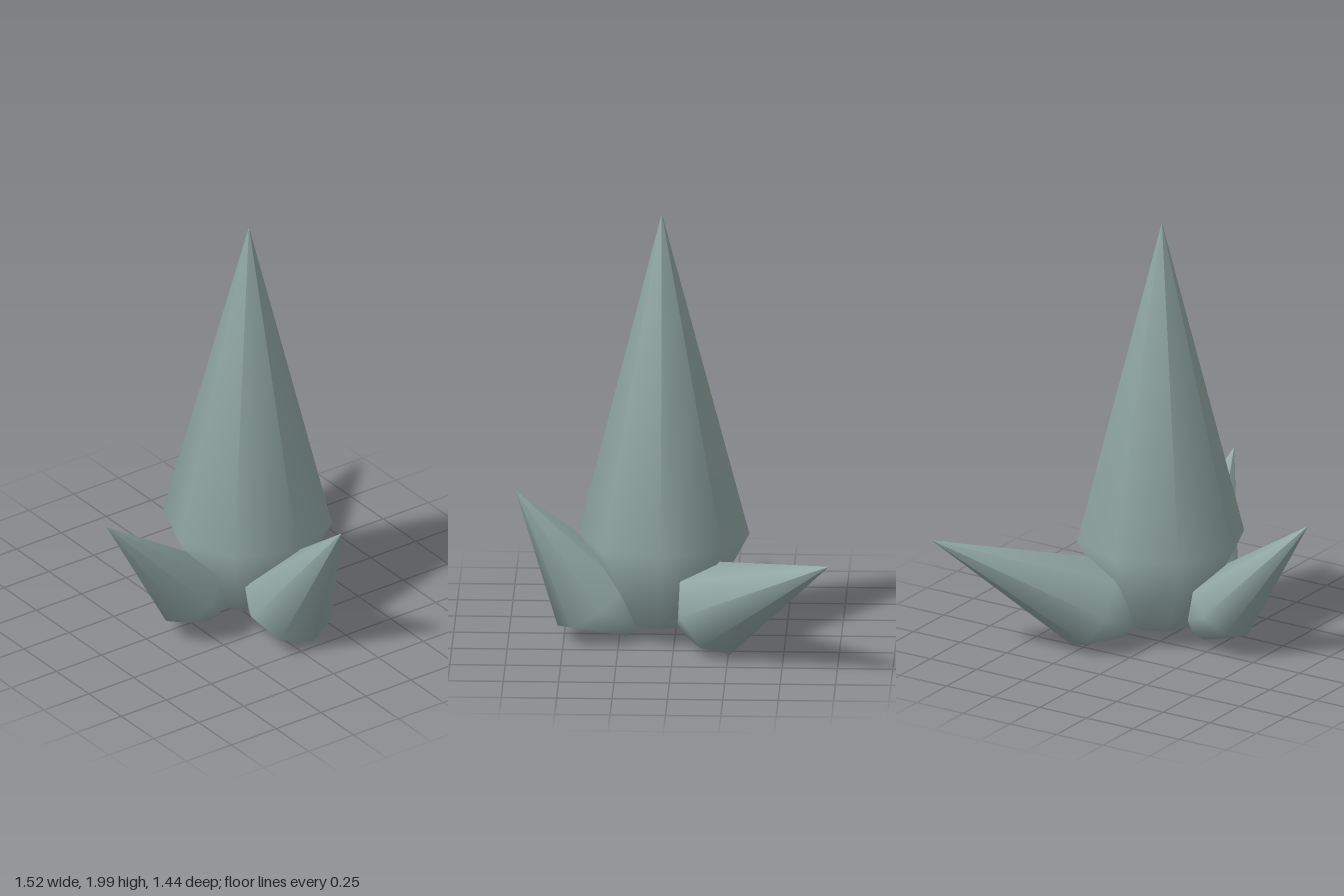
import * as THREE from 'three';

const SIDES = 8;
const V = (x, y, z) => new THREE.Vector3(x, y, z);

// Smooth skin over a stack of point loops, listed from bottom to top
function skin(loops) {
  const index = [];
  for (let k = 0; k < loops.length - 1; k++) {
    for (let i = 0; i < SIDES; i++) {
      const a = k * SIDES + i;
      const b = k * SIDES + (i + 1) % SIDES;
      index.push(a, b, b + SIDES, a, b + SIDES, a + SIDES);
    }
  }
  const geometry = new THREE.BufferGeometry().setFromPoints(loops.flat());
  geometry.setIndex(index);
  geometry.computeVertexNormals();
  return geometry;
}

// Crystal: closed base, small base loop, wide girdle loop, long point
function crystal({ name, base, baseRadius, girdle, radius, tip }, material) {
  const axis = tip.clone().sub(girdle).normalize();
  // first corner of every loop lies on the underside of the lean
  const lean = V(axis.x, 0, axis.z);
  const down = lean.addScaledVector(axis, -lean.dot(axis)).normalize();
  const side = axis.clone().cross(down);
  const loop = (centre, r) => Array.from({ length: SIDES }, (_, i) => {
    const a = (i / SIDES) * Math.PI * 2;
    return centre.clone()
      .addScaledVector(down, r * Math.cos(a))
      .addScaledVector(side, r * Math.sin(a));
  });
  const geometry = skin([
    loop(base, 0.0005),
    loop(base, baseRadius),
    loop(girdle, radius),
    loop(tip, 0.0002),
  ]);
  const mesh = new THREE.Mesh(geometry, material);
  mesh.name = name;
  return mesh;
}

export function createModel() {
  const model = new THREE.Group();
  model.name = 'crystalCluster';
  const material = new THREE.MeshStandardMaterial({ color: 0x90a6a1 });

  const crystals = [
    { name: 'mainCrystal', base: V(0.028, 0.09, 0.05), baseRadius: 0.17,
      girdle: V(0.028, 0.49, 0.05), radius: 0.386, tip: V(0.028, 2, 0.06) },
    { name: 'frontCrystal', base: V(0.035, 0.063, 0.17), baseRadius: 0.09,
      girdle: V(0.035, 0.18, 0.354), radius: 0.215, tip: V(0.065, 0.7, 0.72) },
    { name: 'rightCrystal', base: V(-0.185, 0.095, 0.058), baseRadius: 0.075,
      girdle: V(-0.306, 0.22, 0.058), radius: 0.172, tip: V(-0.76, 0.7, 0.055) },
    { name: 'backLeftCrystal', base: V(0.12, 0.11, -0.08), baseRadius: 0.09,
      girdle: V(0.235, 0.205, -0.19), radius: 0.222, tip: V(0.76, 0.565, -0.72) },
  ];
  for (const c of crystals) model.add(crystal(c, material));
  return model;
}
